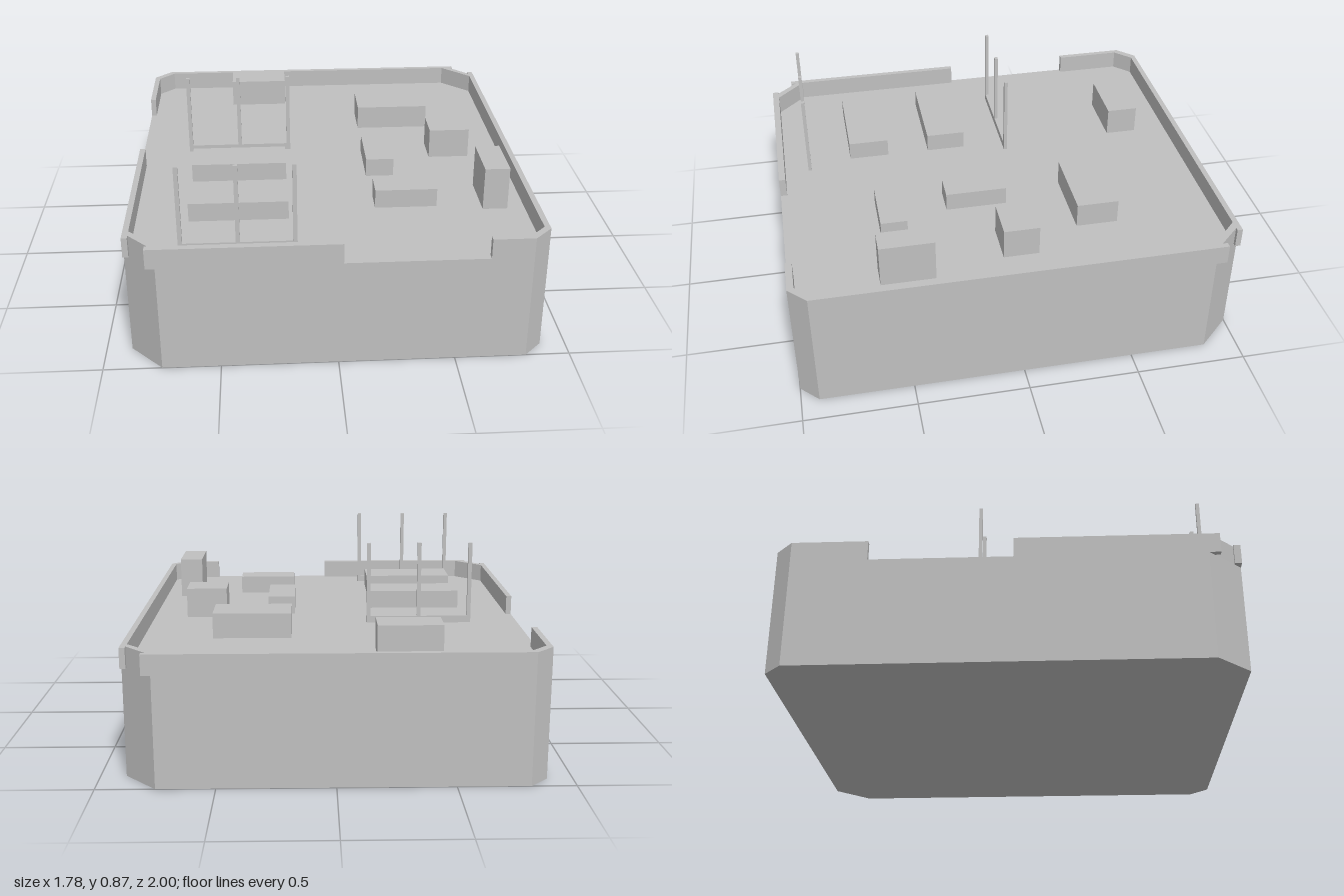
import * as THREE from 'three';

export function createModel() {
  const model = new THREE.Group();
  model.name = 'componentTray';
  const grey = new THREE.MeshStandardMaterial({ color: 0xc0c0c0 });
  grey.name = 'plain grey';

  const FLOOR = 0.487, RIM_TOP = 0.577, PART_BASE = 0.51;

  // Extrudes a plan outline of [x, z] points from y0 up to y1
  function slab(name, outline, y0, y1) {
    const shape = new THREE.Shape(outline.map(([x, z]) => new THREE.Vector2(x, -z)));
    const geometry = new THREE.ExtrudeGeometry(shape, { depth: y1 - y0, bevelEnabled: false });
    geometry.rotateX(-Math.PI / 2).translate(0, y0, 0);
    const mesh = new THREE.Mesh(geometry, grey);
    mesh.name = name;
    model.add(mesh);
  }

  // Box given by its limits on each axis
  function block(name, x0, x1, y0, y1, z0, z1, parent = model) {
    const mesh = new THREE.Mesh(new THREE.BoxGeometry(x1 - x0, y1 - y0, z1 - z0), grey);
    mesh.position.set((x0 + x1) / 2, (y0 + y1) / 2, (z0 + z1) / 2);
    mesh.name = name;
    parent.add(mesh);
  }

  // Solid base with two small and two large corner chamfers
  slab('base', [
    [-0.75, 1], [0.81, 1], [0.89, 0.92], [0.89, -0.85],
    [0.75, -1], [-0.81, -1], [-0.89, -0.92], [-0.89, 0.85],
  ], 0, FLOOR);

  // Rim around the front left corner, its ends overhanging the chamfer
  slab('shortRim', [
    [-0.89, 0.03], [-0.89, 0.9], [-0.865, 0.9], [-0.865, 0.877], [-0.778, 0.97],
    [-0.79, 0.97], [-0.79, 1], [0.02, 1], [0.02, 0.97], [-0.735, 0.97],
    [-0.865, 0.84], [-0.865, 0.03],
  ], FLOOR, RIM_TOP);

  // Rim around the other three corners
  slab('longRim', [
    [0.63, 1], [0.81, 1], [0.89, 0.92], [0.89, -0.9], [0.865, -0.9],
    [0.865, -0.877], [0.773, -0.975], [0.79, -0.975], [0.79, -1],
    [-0.81, -1], [-0.89, -0.92], [-0.89, -0.59], [-0.865, -0.59],
    [-0.865, -0.9], [-0.79, -0.975], [0.73, -0.975], [0.865, -0.84],
    [0.865, 0.905], [0.8, 0.97], [0.63, 0.97],
  ], FLOOR, RIM_TOP);

  // Components: x0, x1, z0, z1, top
  [
    [-0.455, -0.175, -0.805, -0.66, 0.642],
    [0.19, 0.54, -0.5, -0.31, 0.623],
    [0.505, 0.695, -0.1, 0.06, 0.65],
    [0.18, 0.308, -0.03, 0.25, 0.595],
    [0.19, 0.465, 0.45, 0.57, 0.595],
    [0.665, 0.775, 0.37, 0.61, 0.705],
    [-0.63, -0.195, 0.08, 0.262, 0.595],
    [-0.63, -0.195, 0.46, 0.648, 0.595],
  ].forEach(([x0, x1, z0, z1, top], i) =>
    block(`component${i + 1}`, x0, x1, PART_BASE, top, z0, z1));

  // Pin headers: a low bar carrying three tall pins
  for (const z of [-0.128, 0.85]) {
    const header = new THREE.Group();
    header.name = z < 0 ? 'rearPinHeader' : 'frontPinHeader';
    block('headerBar', -0.664, -0.164, FLOOR, 0.52, z - 0.008, z + 0.008, header);
    for (const x of [-0.655, -0.414, -0.174]) {
      block('pin', x - 0.009, x + 0.009, 0.52, 0.873, z - 0.008, z + 0.008, header);
    }
    model.add(header);
  }

  return model;
}
